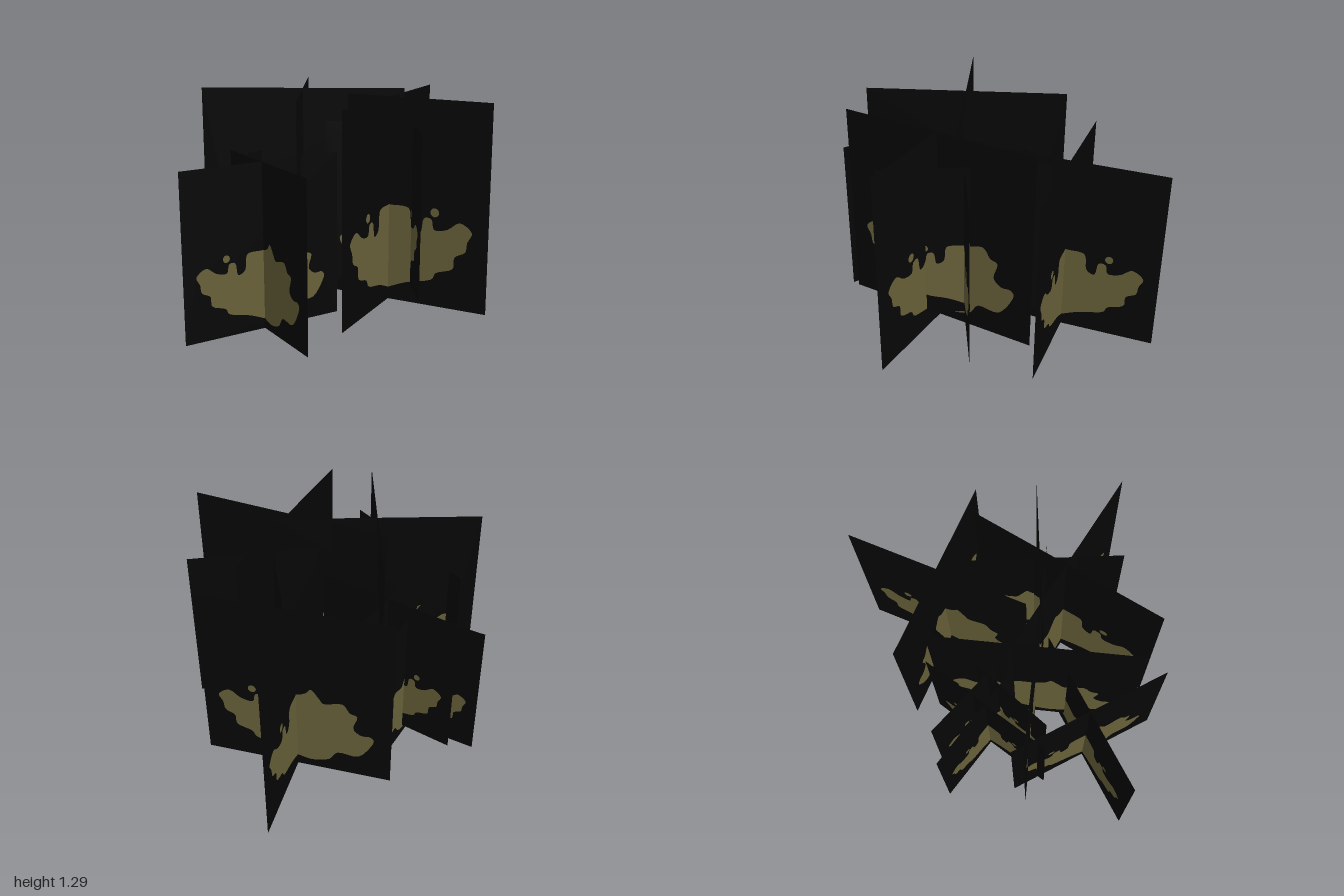
import * as THREE from 'three';

// Leaf patch on a unit card: x runs -0.5..0.5, y runs 0..1
const PATCH = [
  [0, 0.06], [0.08, 0.045], [0.17, 0.07], [0.22, 0.13], [0.33, 0.13], [0.405, 0.24], [0.39, 0.28],
  [0.34, 0.28], [0.30, 0.32], [0.32, 0.40], [0.28, 0.42], [0.24, 0.47], [0.15, 0.45], [0.12, 0.48],
  [0.08, 0.53], [0.05, 0.5], [0, 0.48], [-0.08, 0.48], [-0.11, 0.46], [-0.12, 0.38], [-0.165, 0.36],
  [-0.18, 0.43], [-0.22, 0.43], [-0.235, 0.38], [-0.3, 0.39], [-0.36, 0.43], [-0.42, 0.39],
  [-0.40, 0.34], [-0.39, 0.29], [-0.34, 0.26], [-0.33, 0.2], [-0.25, 0.17], [-0.22, 0.13], [-0.1, 0.1],
];

// Bushes: centre x, centre z, bottom, card size, turn in degrees
const BUSHES = [
  ['frontBush', -0.025, 0.535, 0, 0.94, -8.6],
  ['tallMiddleBush', -0.12, 0.175, 0.17, 1.12, -42.2],
  ['largeSideBush', 0.285, -0.105, 0.105, 1.155, 112],
  ['backBush', -0.25, -0.55, 0.06, 1.05, 211],
  ['outerBush', -0.44, 0.148, 0.035, 0.815, 17],
  ['innerBush', 0.237, -0.272, 0.2, 0.91, 146],
  ['hiddenBush', -0.344, 0.042, 0.09, 0.85, 12],
];

export function createModel() {
  const model = new THREE.Group();
  model.name = 'bushCluster';
  const dark = new THREE.MeshStandardMaterial({ color: 0x060606, side: THREE.DoubleSide });
  dark.name = 'nearBlack';
  const olive = new THREE.MeshStandardMaterial({ color: 0x676039, side: THREE.DoubleSide });
  olive.name = 'olive';

  // Card with cut-outs, and the leaf patches that fill them
  const points = PATCH.map(([x, y]) => new THREE.Vector2(x, y));
  const rounded = new THREE.SplineCurve([...points, points[0]]).getPoints(136);
  const outline = new THREE.Shape(rounded.slice(0, -1));
  const spot = new THREE.Shape().absarc(-0.235, 0.465, 0.022, 0, Math.PI * 2);
  const card = new THREE.Shape([[-0.5, 0], [0.5, 0], [0.5, 1], [-0.5, 1]].map(([x, y]) => new THREE.Vector2(x, y)));
  card.holes.push(outline, spot);
  const cardGeometry = new THREE.ShapeGeometry(card, 6);
  const leafGeometry = new THREE.ShapeGeometry([outline, spot], 6);

  // Each bush is two square cards crossed at right angles
  for (const [name, x, z, bottom, size, turn] of BUSHES) {
    const bush = new THREE.Group();
    bush.name = name;
    for (const quarter of [0, 90]) {
      const crossed = new THREE.Group();
      crossed.name = 'crossedCard';
      const back = new THREE.Mesh(cardGeometry, dark);
      back.name = 'card';
      const leaves = new THREE.Mesh(leafGeometry, olive);
      leaves.name = 'leafPatch';
      crossed.add(back, leaves);
      crossed.rotation.y = THREE.MathUtils.degToRad(quarter);
      bush.add(crossed);
    }
    bush.position.set(x, bottom, z);
    bush.rotation.y = THREE.MathUtils.degToRad(turn);
    bush.scale.setScalar(size);
    model.add(bush);
  }
  return model;
}
